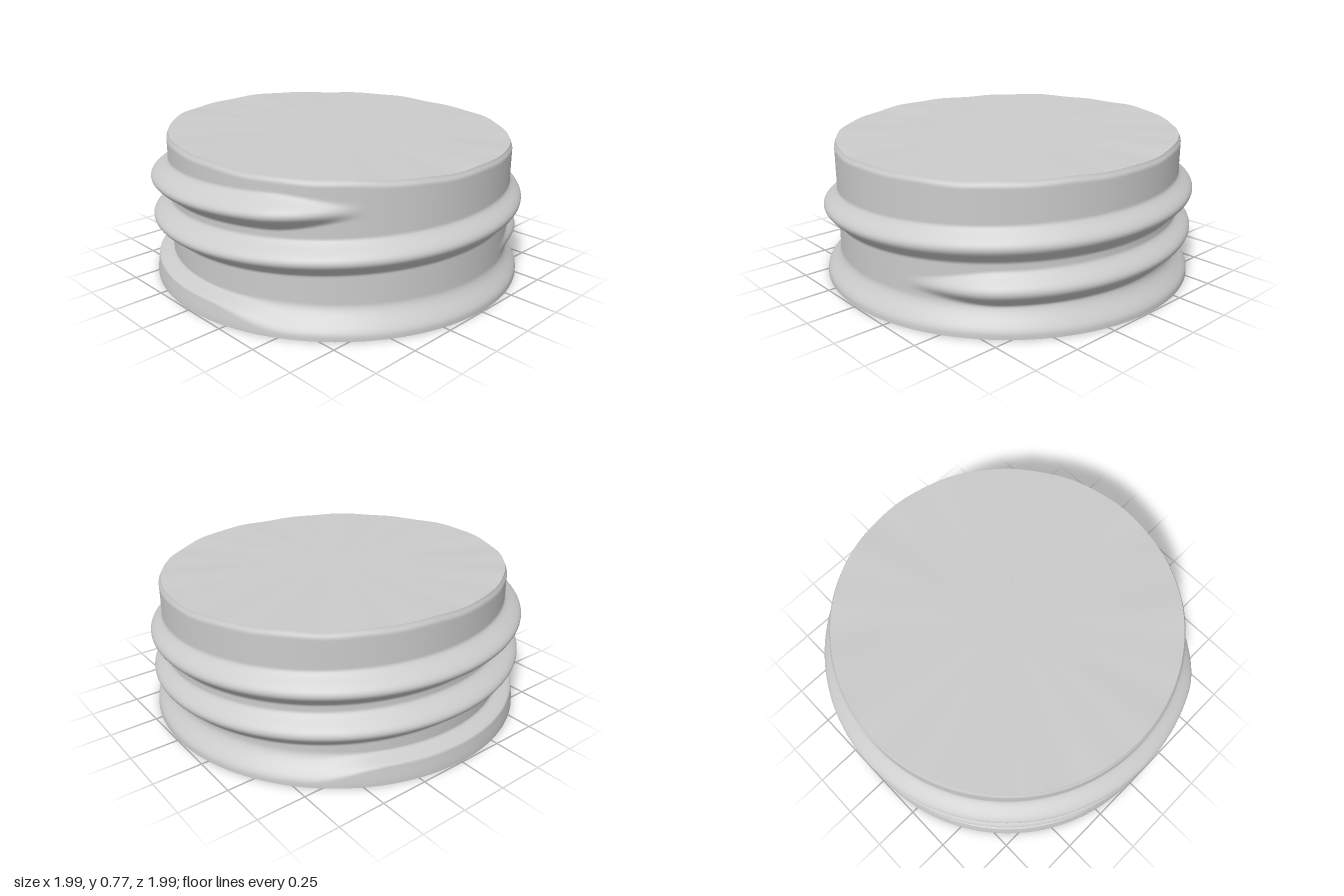
import * as THREE from 'three';
import { mergeVertices } from 'three/addons/utils/BufferGeometryUtils.js';

const SEGMENTS = 200, ROWS = 100;
const CENTRE_X = 0.01, CENTRE_Z = -0.01;
const NECK_RADIUS = 0.917, OUTER_RADIUS = 0.995;
const PITCH = 0.21, THREAD_START = 17, THREAD_END = 684;
const { lerp, smoothstep } = THREE.MathUtils;

// Slightly tilted, faintly uneven top
const topHeight = (x, z) => 0.738 - 0.03 * x + 0.012 * z;
const ripple = (a) => 0.003 * Math.sin(7 * a) + 0.002 * Math.sin(17 * a + 1);

// Distance from the axis to the plain neck, which sits a little off centre
function neckRadius(a) {
  return NECK_RADIUS + CENTRE_X * Math.cos(a) - CENTRE_Z * Math.sin(a);
}

// Strength (0..1) of the helical thread; angle a runs from +x towards -z
function thread(a, y) {
  let best = 0;
  for (let turn = 0; turn < 2; turn++) {
    const deg = THREE.MathUtils.radToDeg(a) + 360 * turn;
    const fade = smoothstep(deg, THREAD_START, THREAD_START + 30)
      * (1 - smoothstep(deg, THREAD_END - 28, THREAD_END));
    const d = Math.abs(y - (0.187 + PITCH * deg / 360));
    const half = 0.09 * (0.4 + 0.6 * fade);
    if (d < half) best = Math.max(best, fade * Math.cos(d / half * Math.PI / 2) ** 1.6);
  }
  return best;
}

// Strength (0..1) of the base flange: a sharp step front left, a slope elsewhere
function flange(a, y) {
  const step = smoothstep(Math.cos(a - THREE.MathUtils.degToRad(218)), 0.1, 0.5);
  const t = 1 - smoothstep(y, lerp(0.02, 0.095, step), lerp(0.145, 0.13, step));
  return t * (1 - 0.15 * smoothstep(y, 0, 0.12));
}

function wallPoint(a, v) {
  const base = neckRadius(a);
  const y = v * (topHeight(base * Math.cos(a), -base * Math.sin(a)) + ripple(a));
  const bulge = Math.max(thread(a, y), flange(a, y));
  const r = lerp(base, OUTER_RADIUS, bulge) - 0.012 * smoothstep(v, 0.96, 1);
  return [r * Math.cos(a), y, -r * Math.sin(a)];
}

// Side wall: an open cylinder pushed out along the thread and flange
function wallGeometry() {
  let g = new THREE.CylinderGeometry(1, 1, 1, SEGMENTS, ROWS, true);
  g.deleteAttribute('uv');
  g.deleteAttribute('normal');
  g = mergeVertices(g);
  const p = g.attributes.position;
  for (let i = 0; i < p.count; i++) {
    const a = (Math.atan2(-p.getZ(i), p.getX(i)) + 2 * Math.PI) % (2 * Math.PI);
    p.setXYZ(i, ...wallPoint(a, p.getY(i) + 0.5));
  }
  g.computeVertexNormals();
  return g;
}

// End discs that follow the rim of the wall
function capGeometry(v) {
  const g = new THREE.CircleGeometry(1, SEGMENTS);
  g.rotateX(v ? -Math.PI / 2 : Math.PI / 2);
  const p = g.attributes.position;
  p.setXYZ(0, 0, v * topHeight(0, 0), 0);
  for (let i = 1; i < p.count; i++) {
    const a = (Math.atan2(-p.getZ(i), p.getX(i)) + 2 * Math.PI) % (2 * Math.PI);
    p.setXYZ(i, ...wallPoint(a, v));
  }
  g.computeVertexNormals();
  return g;
}

export function createModel() {
  const group = new THREE.Group();
  group.name = 'threadedCap';
  const material = new THREE.MeshStandardMaterial({ color: 0xcccccc });
  const add = (name, geometry) => {
    const mesh = new THREE.Mesh(geometry, material);
    mesh.name = name;
    group.add(mesh);
  };
  add('threadedWall', wallGeometry());
  add('topDisc', capGeometry(1));
  add('bottomDisc', capGeometry(0));
  return group;
}
